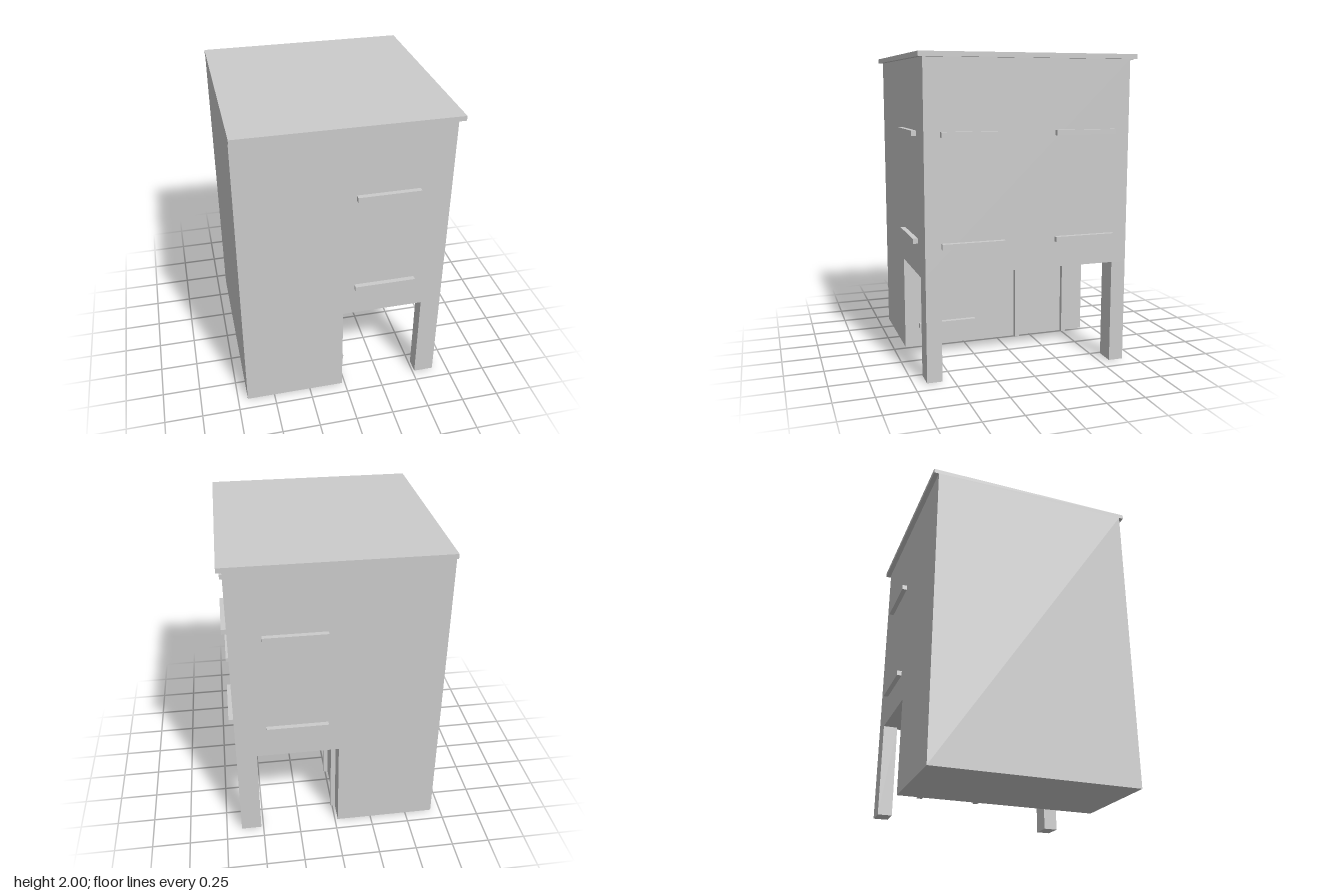
import * as THREE from 'three';

const LEFT = -0.685, RIGHT = 0.648; // building sides in x
const DEPTH = 0.667;                // half depth in z
const ENTRY = -0.02;                // wall set back inside the passage
const CEILING = 0.67, EAVES = 1.97;
const RIM = 0.032;                  // projection of sills, trim and roof

export function createModel() {
  const group = new THREE.Group();
  group.name = 'building';
  const material = new THREE.MeshStandardMaterial({ color: 0xcccccc, flatShading: true });

  const add = (name, geometry) => {
    const mesh = new THREE.Mesh(geometry, material);
    mesh.name = name;
    group.add(mesh);
    return mesh;
  };
  // Box given by its limits on each axis
  const box = (name, x0, x1, y0, y1, z0, z1) =>
    add(name, new THREE.BoxGeometry(x1 - x0, y1 - y0, z1 - z0))
      .position.set((x0 + x1) / 2, (y0 + y1) / 2, (z0 + z1) / 2);
  // Outline extruded along z
  const extrude = (name, points, z0, z1) => {
    const shape = new THREE.Shape(points.map(([x, y]) => new THREE.Vector2(x, y)));
    const geometry = new THREE.ExtrudeGeometry(shape, { depth: z1 - z0, bevelEnabled: false });
    add(name, geometry).position.z = z0;
  };

  // Main block, overhanging the open ground floor passage
  extrude('walls', [
    [LEFT, 0], [ENTRY, 0], [ENTRY, CEILING], [RIGHT, CEILING], [RIGHT, EAVES], [LEFT, EAVES],
  ], -DEPTH, DEPTH);

  // Corner post with its shallow lintel, front and back
  const frame = [
    [ENTRY, 0.635], [0.515, 0.635], [0.515, 0], [RIGHT, 0], [RIGHT, CEILING], [ENTRY, CEILING],
  ];
  extrude('frontPostAndLintel', frame, 0.57, DEPTH);
  extrude('backPostAndLintel', frame, -DEPTH, -0.57);

  // Flat roof, flush with the blind left-hand wall
  box('roof', LEFT, RIGHT + RIM, EAVES, 2, -DEPTH - RIM, DEPTH + RIM);

  // Window sills on both upper floors
  for (const y of [0.835, 1.503]) {
    const top = y + 0.033;
    box('frontSill', 0.05, 0.447, y, top, DEPTH, DEPTH + RIM);
    box('backSill', 0.05, 0.447, y, top, -DEPTH - RIM, -DEPTH);
    box('sideSill', RIGHT, RIGHT + RIM, y, top, 0.167, 0.567);
    box('sideSill', RIGHT, RIGHT + RIM, y, top, -0.565, -0.165);
  }

  // Sill and door trim on the passage wall
  box('passageSill', ENTRY, ENTRY + RIM, 0.135, 0.168, 0.167, 0.57);
  const trim = new THREE.Shape([
    [0.132, 0], [0.165, 0], [0.165, 0.503], [0.498, 0.503],
    [0.498, 0], [0.532, 0], [0.532, 0.535], [0.132, 0.535],
  ].map(([x, y]) => new THREE.Vector2(x, y)));
  const doorTrim = add('doorTrim', new THREE.ExtrudeGeometry(trim, { depth: RIM, bevelEnabled: false }));
  doorTrim.rotation.y = Math.PI / 2;
  doorTrim.position.x = ENTRY;

  return group;
}
